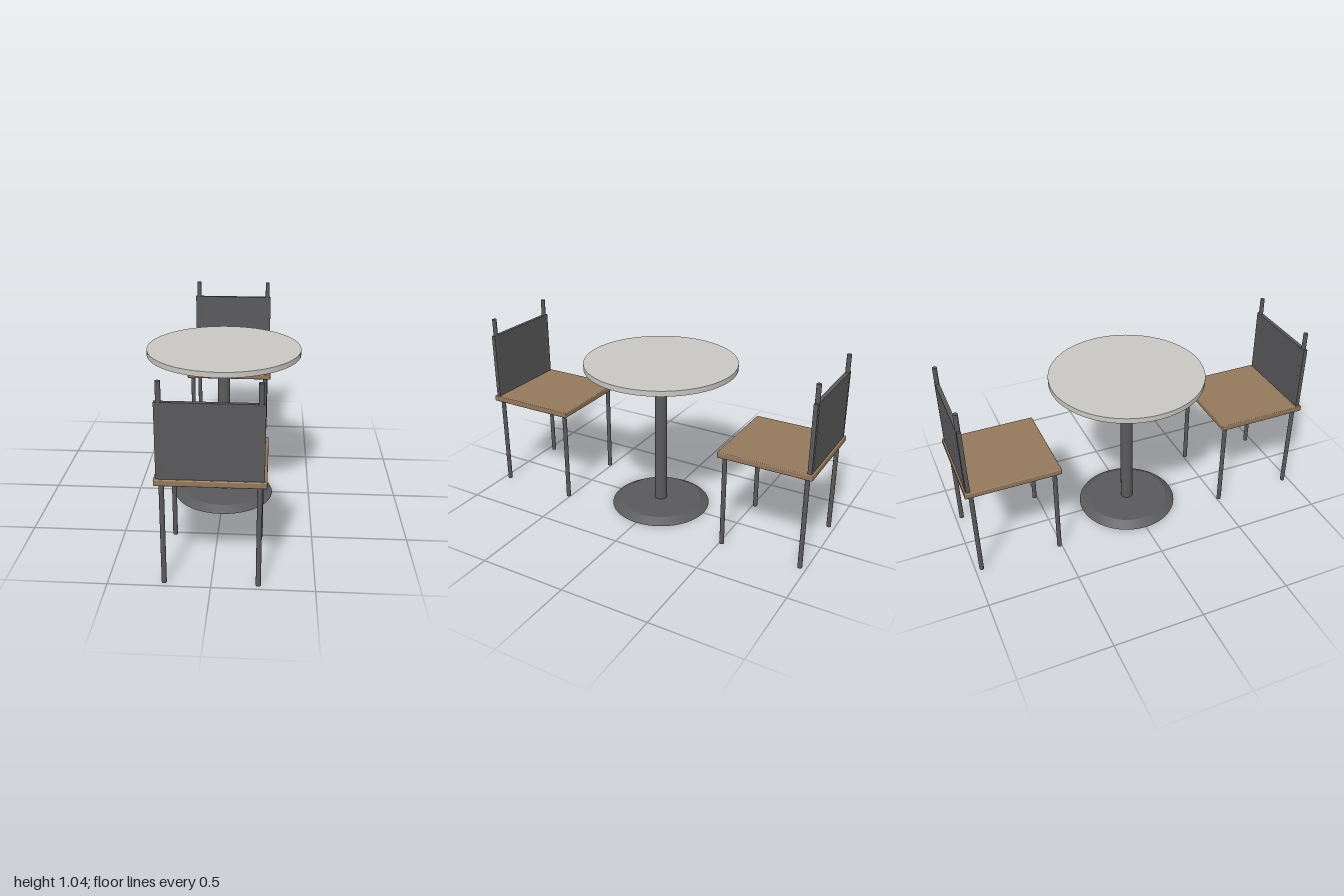
import * as THREE from 'three';
import { RoundedBoxGeometry } from 'three/addons/geometries/RoundedBoxGeometry.js';

const steel = new THREE.MeshStandardMaterial({ name: 'dark steel', color: 0x5a5a5c });
const wood = new THREE.MeshStandardMaterial({ name: 'brown wood', color: 0x94785c });
const stone = new THREE.MeshStandardMaterial({ name: 'pale stone', color: 0xc9c8c3 });

function add(parent, name, geometry, material, x, y, z) {
  const mesh = new THREE.Mesh(geometry, material);
  mesh.name = name;
  mesh.position.set(x, y, z);
  parent.add(mesh);
  return mesh;
}

// Upright cylinder standing between two heights
function upright(parent, name, material, rTop, rBottom, y0, y1, x, z, sides) {
  const geometry = new THREE.CylinderGeometry(rTop, rBottom, y1 - y0, sides);
  return add(parent, name, geometry, material, x, (y0 + y1) / 2, z);
}

function createTable() {
  const table = new THREE.Group();
  table.name = 'table';
  upright(table, 'tableTop', stone, 0.428, 0.428, 0.86, 0.89, 0, 0, 64);
  upright(table, 'tableColumn', steel, 0.035, 0.035, 0.03, 0.86, 0, 0, 32);
  upright(table, 'tableBase', steel, 0.235, 0.285, 0, 0.03, 0, 0, 64);
  return table;
}

// Chair whose backrest lies on the +z side, facing the table
function createChair(name) {
  const chair = new THREE.Group();
  chair.name = name;
  add(chair, 'seat', new RoundedBoxGeometry(0.52, 0.032, 0.52, 2, 0.005), wood, 0, 0.55, 0.74);
  add(chair, 'backrest', new THREE.BoxGeometry(0.497, 0.376, 0.022), steel, 0, 0.752, 0.979);
  for (const x of [-0.227, 0.227]) {
    upright(chair, 'frontLeg', steel, 0.0125, 0.0125, 0, 0.536, x, 0.513, 16);
    upright(chair, 'backLeg', steel, 0.0125, 0.0125, 0, 0.536, x, 0.965, 16);
    upright(chair, 'backPost', steel, 0.0125, 0.0125, 0.56, 1.037, x, 0.979, 16);
  }
  return chair;
}

export function createModel() {
  const model = new THREE.Group();
  model.name = 'cafeSet';
  const frontChair = createChair('frontChair');
  const rearChair = createChair('rearChair');
  rearChair.rotation.y = Math.PI;
  model.add(createTable(), frontChair, rearChair);
  return model;
}
